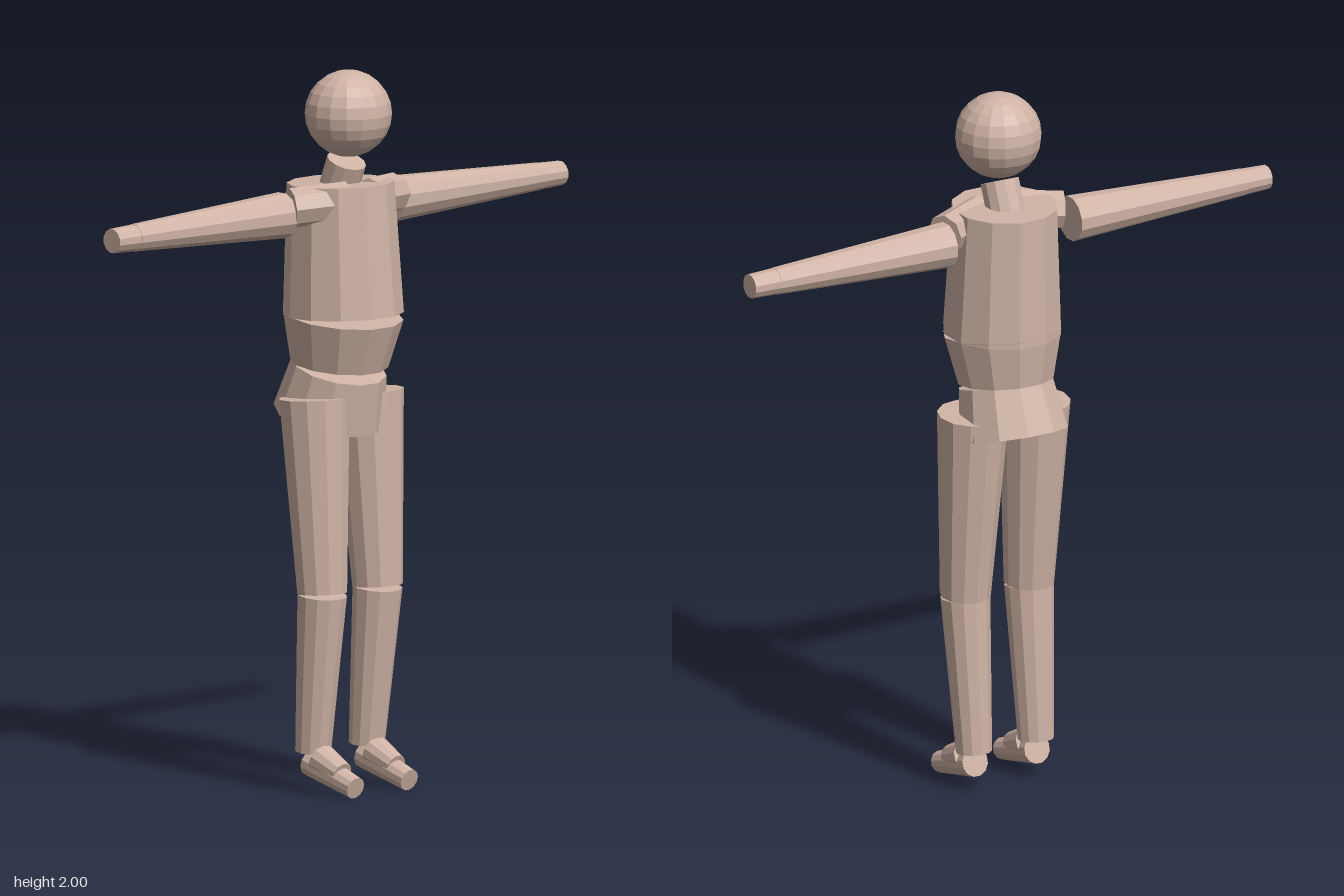
import * as THREE from 'three';

export function createModel() {
  const model = new THREE.Group();
  model.name = 'mannequin';
  const skin = new THREE.MeshStandardMaterial({ color: 0xcfb3a5, flatShading: true });
  skin.name = 'skin';
  const up = new THREE.Vector3(0, 1, 0);

  // Closed tapered limb between two points, facets squared to the front
  function limb(name, from, to, rFrom, rTo, sides = 12) {
    const a = new THREE.Vector3(...from);
    const b = new THREE.Vector3(...to);
    const dir = b.clone().sub(a);
    const geometry = new THREE.CylinderGeometry(rTo, rFrom, dir.length(), sides);
    geometry.rotateY(Math.PI / sides);
    const mesh = new THREE.Mesh(geometry, skin);
    mesh.name = name;
    mesh.position.copy(a).add(b).multiplyScalar(0.5);
    mesh.quaternion.setFromUnitVectors(up, dir.normalize());
    model.add(mesh);
  }

  // Head and neck
  const head = new THREE.Mesh(new THREE.SphereGeometry(0.12, 16, 12), skin);
  head.name = 'head';
  head.position.set(0, 1.88, 0.037);
  model.add(head);
  limb('neck', [0, 1.66, -0.005], [0, 1.748, 0.03], 0.055, 0.055);

  // Trunk segments, each leaning its own way
  limb('chest', [0, 1.322, 0.017], [0, 1.686, 0.005], 0.166, 0.148);
  limb('abdomen', [0, 1.182, 0], [0, 1.318, 0.016], 0.135, 0.166);
  limb('pelvis', [0, 1.033, -0.04], [0, 1.172, -0.001], 0.156, 0.133);

  // Mirrored limbs
  for (const [side, s] of [['left', 1], ['right', -1]]) {
    limb(side + 'Shoulder', [s * 0.04, 1.645, 0.075], [s * 0.19, 1.635, 0.01], 0.055, 0.055, 8);
    limb(side + 'Arm', [s * 0.2, 1.613, -0.013], [s * 0.755, 1.613, -0.013], 0.064, 0.038);
    limb(side + 'Hand', [s * 0.755, 1.613, -0.013], [s * 0.835, 1.613, -0.013], 0.037, 0.034);
    limb(side + 'Thigh', [s * 0.1, 1.098, 0.008], [s * 0.103, 0.56, 0.043], 0.099, 0.07);
    limb(side + 'Shin', [s * 0.103, 0.555, 0.043], [s * 0.1, 0.115, 0.003], 0.069, 0.05);
    limb(side + 'Foot', [s * 0.1, 0.085, -0.003], [s * 0.1, 0.033, 0.175], 0.041, 0.031);
    limb(side + 'Instep', [s * 0.1, 0.098, 0.035], [s * 0.1, 0.065, 0.12], 0.044, 0.033);
  }
  return model;
}
